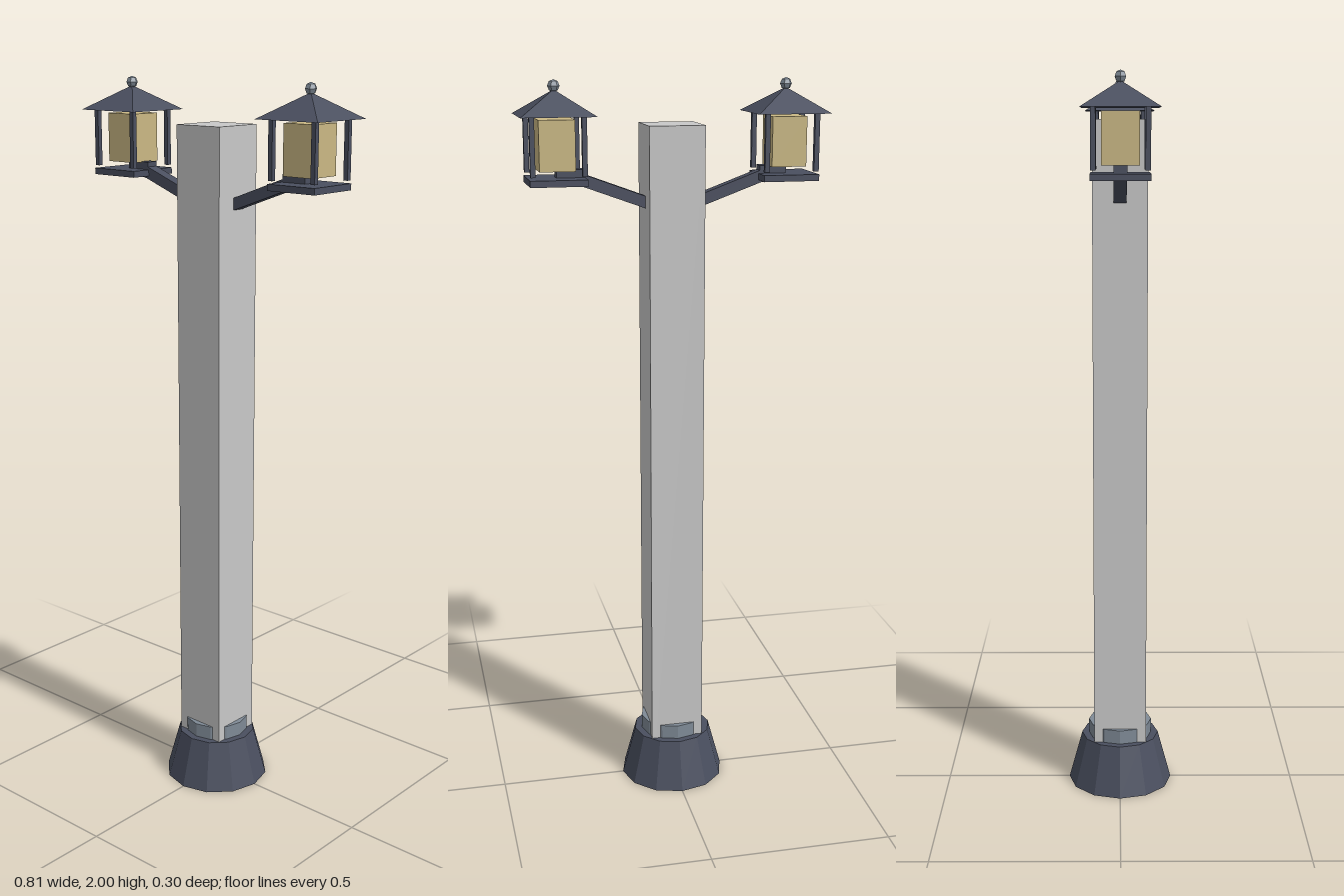
import * as THREE from 'three';

const material = (name, color) => {
  const m = new THREE.MeshStandardMaterial({ color, flatShading: true });
  m.name = name;
  return m;
};

export function createModel() {
  const stone = material('pale stone', 0xc8c8c8);
  const iron = material('dark iron', 0x4a4f5f);
  const steel = material('grey steel', 0x7f8a96);
  const amber = material('amber glass', 0xcab884);

  const add = (parent, name, geometry, mat, x = 0, y = 0, z = 0) => {
    const mesh = new THREE.Mesh(geometry, mat);
    mesh.name = name;
    mesh.position.set(x, y, z);
    parent.add(mesh);
    return mesh;
  };
  const box = (w, h, d) => new THREE.BoxGeometry(w, h, d);

  const model = new THREE.Group();
  model.name = 'lampPost';

  // Post, tapered foot and collar
  add(model, 'post', box(0.148, 1.883, 0.148), stone, 0, 0.9435);
  add(model, 'foot', new THREE.CylinderGeometry(0.11, 0.148, 0.14, 12), iron, 0, 0.07);
  add(model, 'collar', new THREE.CylinderGeometry(0.09, 0.09, 0.042, 12), steel, 0, 0.159);

  // Bent arm profile, running from the post face to under the lantern
  const armShape = new THREE.Shape([
    [0.07, 1.668], [0.24, 1.73], [0.308, 1.745], [0.308, 1.774],
    [0.236, 1.774], [0.236, 1.761], [0.07, 1.7],
  ].map(([x, y]) => new THREE.Vector2(x, y)));
  const armGeometry = new THREE.ExtrudeGeometry(armShape, { depth: 0.034, bevelEnabled: false });
  armGeometry.translate(0, 0, -0.017);

  // Four-sided roof
  const roofGeometry = new THREE.ConeGeometry(0.098 * Math.SQRT2, 0.064, 4);
  roofGeometry.rotateY(Math.PI / 4);

  for (const side of [1, -1]) {
    const branch = new THREE.Group();
    branch.name = side > 0 ? 'leftLamp' : 'rightLamp';
    branch.rotation.y = side > 0 ? 0 : Math.PI;
    model.add(branch);

    add(branch, 'arm', armGeometry, iron);

    const lantern = new THREE.Group();
    lantern.name = 'lantern';
    lantern.position.x = 0.308;
    branch.add(lantern);

    add(lantern, 'tray', box(0.15, 0.017, 0.15), iron, 0, 1.745);
    add(lantern, 'glass', box(0.094, 0.13, 0.094), amber, 0, 1.837);
    add(lantern, 'roof', roofGeometry, iron, 0, 1.943);
    add(lantern, 'finial', new THREE.SphereGeometry(0.016, 6, 4), steel, 0, 1.984);

    // Corner bars between tray and roof
    for (const x of [-0.067, 0.067]) {
      for (const z of [-0.067, 0.067]) {
        add(lantern, 'cornerBar', box(0.013, 0.15, 0.013), iron, x, 1.836, z);
      }
    }
  }
  return model;
}
